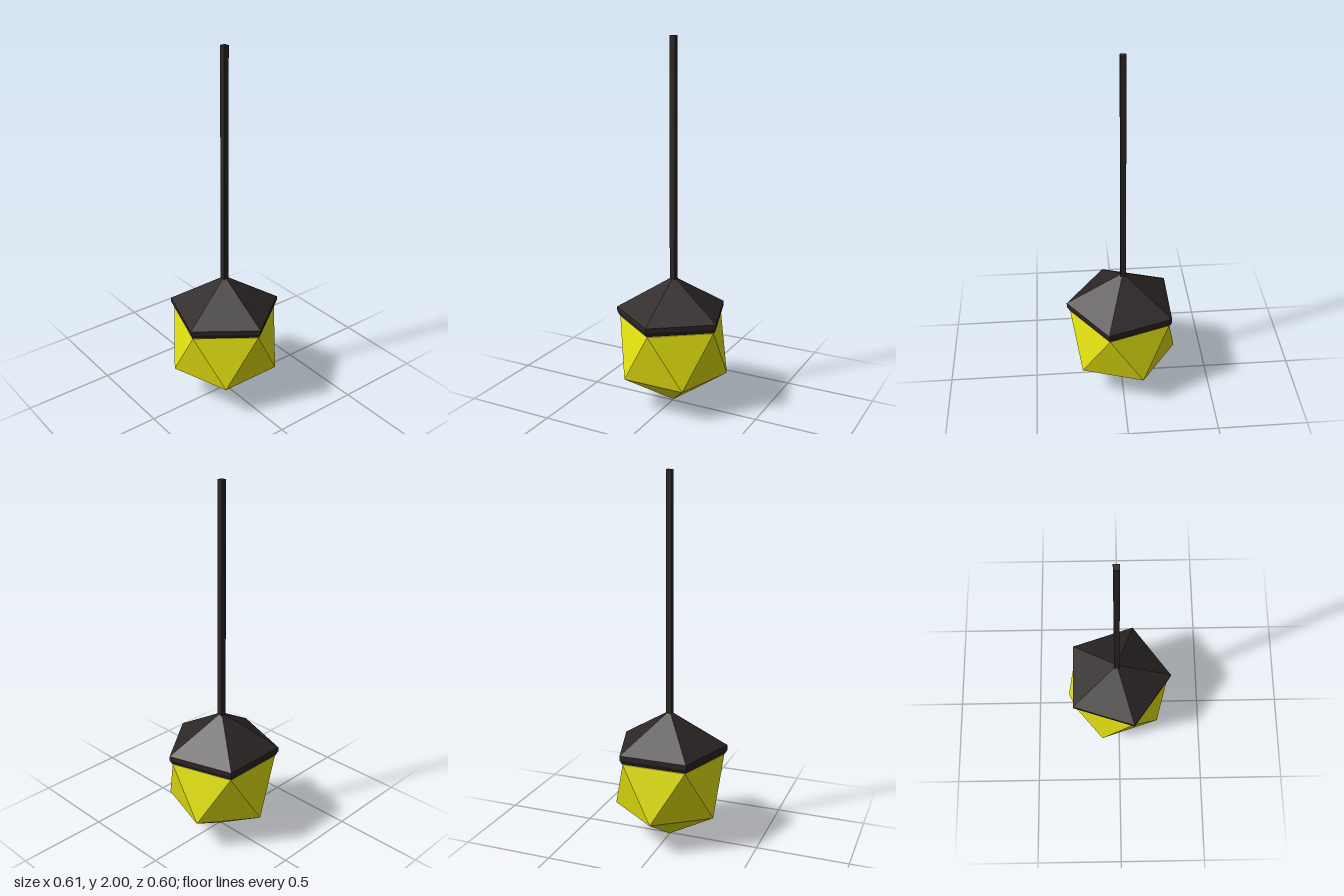
import * as THREE from 'three';

export function createModel() {
  const root = new THREE.Group();
  const dark = new THREE.MeshStandardMaterial({ color: 0x2d2626, flatShading: true });
  const yellow = new THREE.MeshStandardMaterial({ color: 0xe7e511, flatShading: true });
  const axisX = -0.01;

  const add = (name, geometry, material, y = 0) => {
    const mesh = new THREE.Mesh(geometry, material);
    mesh.name = name;
    mesh.position.set(axisX, y, 0);
    root.add(mesh);
  };

  // Faceted lamp body: icosahedron stood on one corner, upper corner towards +x
  const R = 0.333;
  const body = new THREE.IcosahedronGeometry(R, 0);
  body.rotateZ(-Math.atan(2 / (1 + Math.sqrt(5))));
  add('lampBody', body, yellow, R + 0.002);

  // Five-sided cap with a short vertical rim and a bevelled lower edge
  const profile = [
    [0.25, 0.488], [0.302, 0.488], [0.315, 0.512], [0.315, 0.537], [0, 0.73],
  ].map(([r, y]) => new THREE.Vector2(r, y));
  add('cap', new THREE.LatheGeometry(profile, 5, Math.PI / 2), dark);

  // Square hanging rod
  const rodBottom = 0.7;
  add('rod', new THREE.BoxGeometry(0.03, 2 - rodBottom, 0.03), dark, (2 + rodBottom) / 2);

  return root;
}
